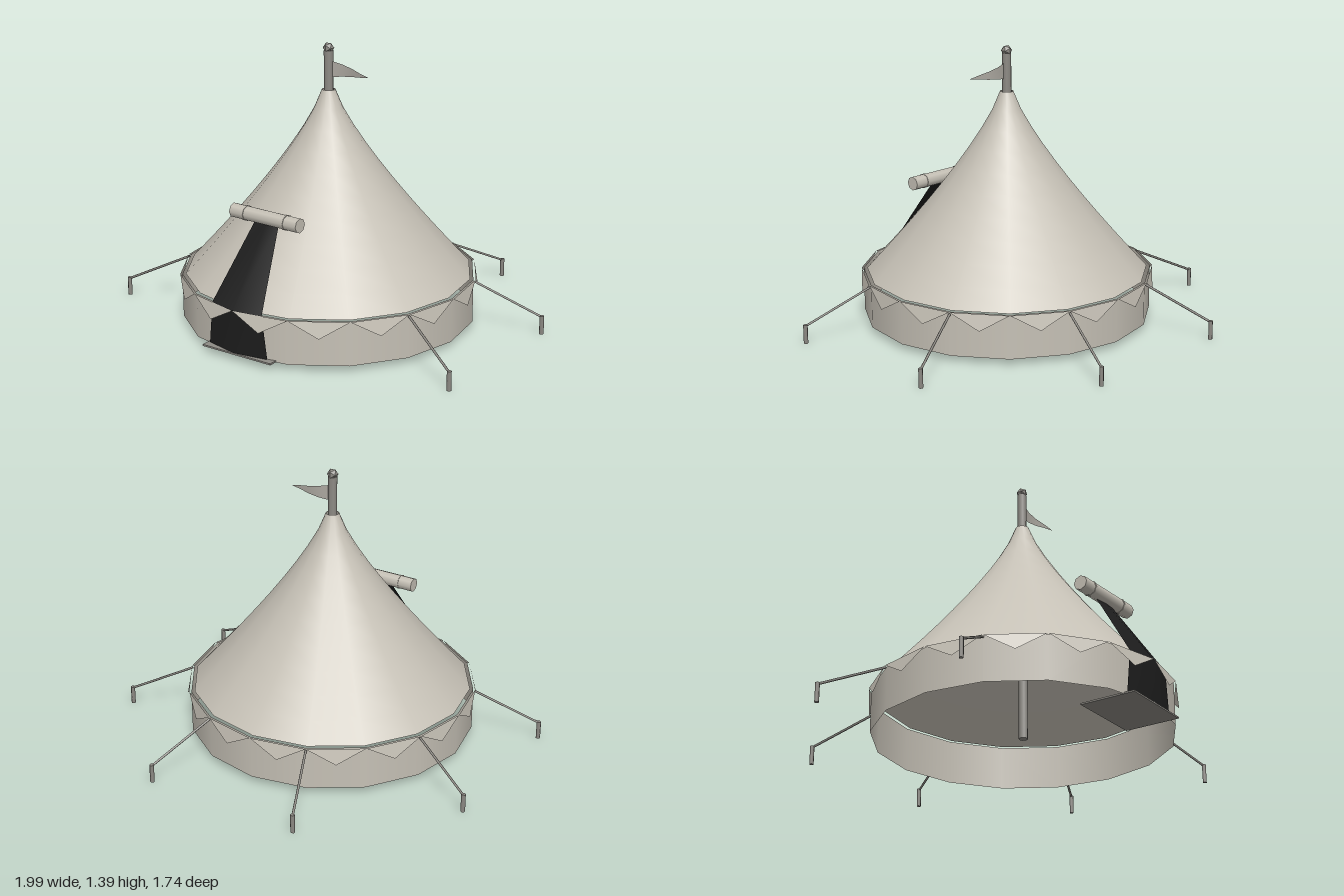
import * as THREE from 'three';

const SIDES = 16, CZ = 0.12, EAVE = 0.25;

export function createModel() {
  const model = new THREE.Group();
  const tent = new THREE.Group(); // everything is centred on the pole
  tent.name = 'tent';
  tent.position.z = CZ;
  model.add(tent);

  const material = (name, color, double) => {
    const m = new THREE.MeshStandardMaterial({ color });
    m.name = name;
    if (double) m.side = THREE.DoubleSide;
    return m;
  };
  const canvas = material('canvas', 0xc6c1b6, true);
  const dark = material('dark opening', 0x1d1d1d, true);
  const wood = material('weathered wood', 0x8e8b85);
  const pennant = material('pennant cloth', 0xb0aca4, true);

  const add = (name, geometry, mat, x = 0, y = 0, z = 0) => {
    const mesh = new THREE.Mesh(geometry, mat);
    mesh.name = name;
    mesh.position.set(x, y, z);
    tent.add(mesh);
    return mesh;
  };
  const surface = (points, index) => {
    const g = new THREE.BufferGeometry();
    g.setAttribute('position', new THREE.Float32BufferAttribute(points.flat(), 3));
    if (index) g.setIndex(index);
    g.computeVertexNormals();
    return g;
  };
  // Grid of rows of points, running left to right and bottom to top
  const sheet = (rows) => {
    const n = rows[0].length, index = [];
    for (let r = 0; r < rows.length - 1; r++)
      for (let c = 0; c < n - 1; c++) {
        const a = r * n + c;
        index.push(a, a + 1, a + n + 1, a, a + n + 1, a + n);
      }
    return surface(rows.flat(), index);
  };
  const polar = (r, angle, y) => [r * Math.sin(angle), y, r * Math.cos(angle)];

  // Canvas wall and swept roof
  add('wall', new THREE.CylinderGeometry(0.727, 0.727, 0.22, SIDES, 1, true), canvas, 0, 0.14);
  const profile = [];
  for (let i = 0; i <= 10; i++) {
    const t = 1 - i / 10;
    profile.push(new THREE.Vector2(0.033 + 0.677 * t ** 1.25, 1.16 - 0.91 * t));
  }
  add('roof', new THREE.LatheGeometry(profile, SIDES), canvas);

  // Valance: one pointed flap per wall panel, splayed a little
  const step = (Math.PI * 2) / SIDES, flaps = [];
  for (let i = 0; i < SIDES; i++) {
    flaps.push(polar(0.738, i * step, EAVE), polar(0.741, (i + 0.5) * step, 0.17),
      polar(0.738, (i + 1) * step, EAVE));
  }
  add('valance', surface(flaps), canvas);

  // Doorway: lower part follows the wall, upper part leans to the rolled flap
  const doorRow = (w, y, zMid, zSide) => [[-w, y, zSide], [0, y, zMid], [w, y, zSide]];
  add('doorwayLower', sheet([doorRow(0.176, 0.035, 0.734, 0.7), doorRow(0.15, EAVE, 0.734, 0.705)]), dark);
  add('doorwayUpper', sheet([doorRow(0.15, EAVE, 0.734, 0.705), doorRow(0.068, 0.62, 0.475, 0.47)]), dark);

  // Rolled door flap with two ties
  const roll = add('rolledFlap', new THREE.CylinderGeometry(0.036, 0.036, 0.4, 8), canvas, 0, 0.635, 0.48);
  roll.rotation.z = Math.PI / 2;
  for (const s of [-1, 1]) {
    const tie = add('flapTie', new THREE.CylinderGeometry(0.039, 0.039, 0.008, 8), canvas, s * 0.12, 0.635, 0.48);
    tie.rotation.z = Math.PI / 2;
  }

  // Door mat
  const mat = add('doorMat', new THREE.BoxGeometry(0.4, 0.008, 0.28), wood, 0.01, 0.034, 0.595);
  mat.rotation.y = 0.04;

  // Centre pole and finial
  add('pole', new THREE.CylinderGeometry(0.023, 0.023, 1.32, 8), wood, 0, 0.69);
  const knob = new THREE.IcosahedronGeometry(0.028, 0);
  add('finial', knob, wood, 0, 1.362);

  // Rippled pennant
  const low = [], high = [];
  for (let i = 0; i <= 4; i++) {
    const t = i / 4, z = -0.012 * Math.sin(t * Math.PI * 1.5);
    low.push([0.02 + 0.225 * t, 1.222 + 0.028 * t, z]);
    high.push([0.02 + 0.225 * t, 1.3 - 0.049 * t, z]);
  }
  add('pennant', sheet([low, high]), pennant);

  // Guy ropes and stakes, all but the front pair of corners
  for (const k of [3, 5, 7, 9, 11, 13]) {
    const a = new THREE.Vector3(...polar(0.735, k * step, 0.24));
    const b = new THREE.Vector3(...polar(1.067, k * step, 0.088));
    const rope = add('guyRope', new THREE.CylinderGeometry(0.006, 0.006, a.distanceTo(b), 6), wood);
    rope.position.copy(a).lerp(b, 0.5);
    rope.quaternion.setFromUnitVectors(new THREE.Vector3(0, 1, 0), b.clone().sub(a).normalize());
    add('stake', new THREE.CylinderGeometry(0.011, 0.011, 0.095, 6), wood, b.x, 0.0475, b.z);
  }
  return model;
}
